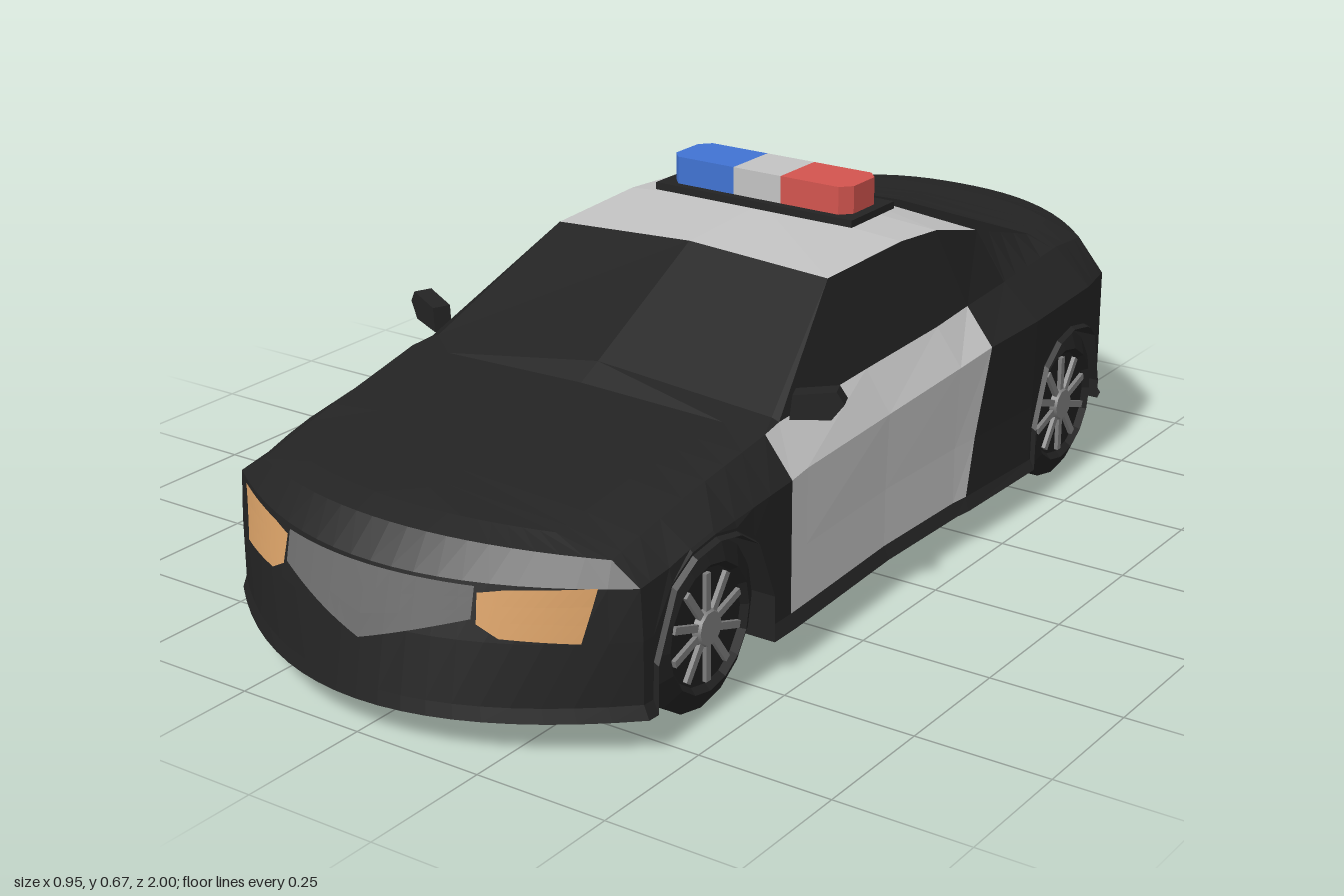
import * as THREE from 'three';

const paint = (name, color, extra = {}) => new THREE.MeshStandardMaterial({ name, color, ...extra });
const M = {
  black: paint('black paint', 0x232323), glass: paint('dark glass', 0x1e1e1e),
  white: paint('white panel', 0xc2c2c2), amber: paint('amber lamp', 0xd8a066),
  grey: paint('grille grey', 0x6c6c6c), red: paint('red lamp', 0xd2544e),
  blue: paint('blue lamp', 0x4072d2), rim: paint('rim grey', 0x7c7c7c),
  tyre: paint('tyre black', 0x1f1f1f, { flatShading: true }),
};

// Surfaces are collected as mirrored quads under a part name
function makeCollector() {
  const parts = {};
  const tri = (list, a, b, c) => {
    const [A, B, C] = [a, b, c].map(p => new THREE.Vector3(...p));
    if (B.sub(A).cross(C.sub(A)).length() > 1e-8) list.push(...a, ...b, ...c);
  };
  const flip = p => [-p[0], p[1], p[2]];
  return {
    quad(name, mat, a, b, c, d) {
      const list = (parts[name] ??= { mat, v: [] }).v;
      tri(list, a, b, c); tri(list, a, c, d);
      const [e, f, g, h] = [a, b, c, d].map(flip);
      tri(list, g, f, e); tri(list, h, g, e);
    },
    addTo(group) {
      for (const [name, { mat, v }] of Object.entries(parts)) {
        const geo = new THREE.BufferGeometry();
        geo.setAttribute('position', new THREE.Float32BufferAttribute(v, 3));
        geo.computeVertexNormals();
        addMesh(group, name, geo, mat);
      }
    },
  };
}
function addMesh(parent, name, geo, mat) {
  const mesh = new THREE.Mesh(geo, mat);
  mesh.name = name;
  parent.add(mesh);
  return mesh;
}
// Linear lookup in rows sorted by falling first column
function lookup(rows, key) {
  let i = 0;
  while (i < rows.length - 2 && key < rows[i + 1][0]) i++;
  const k = THREE.MathUtils.clamp((rows[i][0] - key) / (rows[i][0] - rows[i + 1][0]), 0, 1);
  return rows[i].map((n, c) => n + (rows[i + 1][c] - n) * k);
}

// z, side x, floor y, shoulder x y, belt x y, top edge x y, centre y
const SHAPE = [
  [0.8, 0.43, 0.065, 0.425, 0.29, 0.37, 0.325, 0.26, 0.345, 0.36],
  [0.615, 0.44, 0.065, 0.435, 0.315, 0.375, 0.365, 0.27, 0.375, 0.385],
  [0.39, 0.44, 0.065, 0.44, 0.335, 0.385, 0.405, 0.30, 0.408, 0.415],
  [0.34, 0.438, 0.065, 0.438, 0.34, 0.38, 0.41, 0.365, 0.415, 0.44],
  [0.06, 0.425, 0.065, 0.43, 0.345, 0.38, 0.42, 0.297, 0.572, 0.588],
  [-0.18, 0.43, 0.065, 0.437, 0.36, 0.385, 0.43, 0.304, 0.579, 0.601],
  [-0.30, 0.435, 0.065, 0.443, 0.37, 0.38, 0.435, 0.308, 0.57, 0.592],
  [-0.45, 0.445, 0.07, 0.45, 0.375, 0.375, 0.44, 0.312, 0.532, 0.56],
  [-0.69, 0.435, 0.1, 0.435, 0.375, 0.36, 0.445, 0.30, 0.46, 0.48],
  [-0.8, 0.41, 0.115, 0.41, 0.37, 0.355, 0.435, 0.28, 0.46, 0.47],
];
const AXLE = 0.615, WHEEL_Y = 0.15, ARCH = 0.16;

// Half cross-section from floor centre to roof centre, cut by the wheel arch
function ring(z) {
  const [, w, yf, sx, sy, bx, by, tx, ty, cy] = lookup(SHAPE, z);
  const dz = Math.abs(Math.abs(z) - AXLE);
  const a = dz < ARCH + 0.0005 ? WHEEL_Y + Math.sqrt(Math.max(0, ARCH ** 2 - dz ** 2)) : yf;
  const pts = [[0, yf], [0.3, yf], [0.3, a], [w + 0.01, a], [w, Math.max(0.09, a + 0.005)],
    [w, Math.max(0.2, a + 0.01)], [sx, Math.max(sy, a + 0.015)], [bx, by], [tx, ty], [0, cy]];
  // The rear door edge slants
  const slant = (y, j) => (z === -0.3 && j > 2 && j < 7 ? 0.08 * (1 - (y - 0.09) / 0.34) : 0);
  return pts.map(([x, y], j) => [x, y, z + slant(y, j)]);
}

function partAt(z, j) {
  if (j < 3 && z < 0.39 && z > -0.45) return ['floorPan', M.white];
  if (j > 3 && j < 7 && z < 0.39 && z > -0.3) return ['doorPanels', M.white];
  if (j === 7 && z < 0.34 && z > -0.45) return ['sideWindows', M.glass];
  if (j === 8 && z < 0.34 && z > 0.06) return ['windshield', M.glass];
  if (j === 8 && z < 0.06 && z > -0.45) return ['roofPanel', M.white];
  if (j === 8 && z < -0.45 && z > -0.69) return ['rearWindow', M.glass];
  return ['bodyShell', M.black];
}

function buildBody(car) {
  const body = makeCollector();
  const arch = [0.161, 0.16, 0.113, 0.06, 0, -0.06, -0.113, -0.16, -0.161];
  const zs = [0.8, ...arch.map(d => AXLE + d), 0.39, 0.34, 0.06, -0.18, -0.3, -0.45,
    ...arch.map(d => d - AXLE), -0.69, -0.8].sort((a, b) => b - a);
  const rings = zs.map(ring);
  for (let i = 0; i < zs.length - 1; i++)
    for (let j = 0; j < 9; j++)
      body.quad(...partAt((zs[i] + zs[i + 1]) / 2, j),
        rings[i][j], rings[i + 1][j], rings[i + 1][j + 1], rings[i][j + 1]);

  // Rounded nose and tail: every row bows from the side out to a centre point (y, z)
  const endCap = (side, centre, power) => {
    const dir = Math.sign(side[0][2]), n = 10;
    const rows = [[side[3], [side[3][1], 0.8]], ...centre.map((c, k) => [side[k + 3], c])];
    const at = ([s, c], t) => [s[0] * t, c[0] + (s[1] - c[0]) * t * t,
      dir * (0.8 + (c[1] - 0.8) * (1 - t ** power))];
    for (let r = 0; r < rows.length - 1; r++)
      for (let k = 0; k < n; k++) {
        const q = [at(rows[r], k / n), at(rows[r], (k + 1) / n),
          at(rows[r + 1], (k + 1) / n), at(rows[r + 1], k / n)];
        body.quad('bodyShell', M.black, ...(dir > 0 ? q : q.reverse()));
      }
  };
  endCap(rings[0], [[0.06, 1], [0.085, 0.995], [0.19, 0.975], [0.285, 0.95],
    [0.335, 0.9], [0.35, 0.85], [0.36, 0.8]], 2);
  endCap(rings[rings.length - 1], [[0.14, 0.995], [0.185, 1], [0.205, 0.972], [0.32, 0.957],
    [0.455, 0.94], [0.465, 0.87], [0.47, 0.8]], 2.6);

  // Thin plates that follow the bowed ends: rows are y, centre z, half width
  const front = [[0.285, 0.95, 0.425], [0.19, 0.975, 0.43], [0.085, 0.995, 0.43]];
  const rear = [[0.44, 0.94, 0.355], [0.345, 0.956, 0.41], [0.2, 0.972, 0.41]];
  const plate = (name, mat, dir, [p, q, r, s]) => {
    const nu = 8, nv = 3;
    const at = (u, v) => {
      const mix = k => (p[k] * (1 - u) + q[k] * u) * (1 - v) + (s[k] * (1 - u) + r[k] * u) * v;
      const x = mix(0), y = mix(1);
      const [, cz, w] = lookup(dir > 0 ? front : rear, y);
      return [x, y, dir * (0.808 + (cz - 0.8) * (1 - (x / w) ** (dir > 0 ? 2 : 2.6)))];
    };
    for (let i = 0; i < nu; i++)
      for (let j = 0; j < nv; j++) {
        const c = [at(i / nu, j / nv), at((i + 1) / nu, j / nv),
          at((i + 1) / nu, (j + 1) / nv), at(i / nu, (j + 1) / nv)];
        body.quad(name, mat, ...(dir > 0 ? c : c.reverse()));
      }
  };
  const box = (x0, x1, y0, y1) => [[x0, y0], [x1, y0], [x1, y1], [x0, y1]];
  plate('grille', M.grey, 1, [[0, 0.165], [0.195, 0.23], [0.195, 0.283], [0, 0.283]]);
  plate('headlights', M.amber, 1, [[0.204, 0.223], [0.24, 0.203], [0.24, 0.281], [0.2, 0.273]]);
  plate('headlights', M.amber, 1, [[0.24, 0.203], [0.355, 0.2], [0.374, 0.293], [0.24, 0.281]]);
  plate('rearPlate', M.grey, -1, box(0, 0.135, 0.213, 0.288));
  plate('tailLights', M.red, -1, box(0.31, 0.334, 0.325, 0.415));
  plate('tailLights', M.red, -1, box(0.265, 0.31, 0.393, 0.415));
  plate('tailLights', M.red, -1, box(0.265, 0.31, 0.325, 0.347));
  body.addTo(car);
}

function buildWheel(side, z) {
  const wheel = new THREE.Group();
  wheel.name = 'wheel';
  const profile = [[0, -0.055], [0.15, -0.055], [0.15, 0.03], [0.113, 0.05], [0.103, 0.038], [0, 0.038]];
  addMesh(wheel, 'tyre', new THREE.LatheGeometry(profile.map(p => new THREE.Vector2(...p)), 16), M.tyre);
  for (let i = 0; i < 10; i++) {
    const spoke = new THREE.BoxGeometry(0.078, 0.012, 0.013).translate(0.058, 0.04, 0);
    addMesh(wheel, 'spoke', spoke.rotateY(i * Math.PI / 5), M.rim);
  }
  addMesh(wheel, 'hub', new THREE.CylinderGeometry(0.03, 0.037, 0.016, 10).translate(0, 0.043, 0), M.rim);
  wheel.rotation.z = -side * Math.PI / 2;
  wheel.position.set(side * 0.38, WHEEL_Y, z);
  return wheel;
}

const outline = pts => new THREE.Shape(pts.map(p => new THREE.Vector2(...p)));

export function createModel() {
  const car = new THREE.Group();
  car.name = 'patrolCar';
  buildBody(car);
  for (const side of [-1, 1]) {
    for (const z of [AXLE, -AXLE]) car.add(buildWheel(side, z));
    // Door mirror, swept back towards its tip
    const pts = [[0, 0], [0.072, 0.005], [0.094, 0.034], [0.08, 0.056], [0.005, 0.045]];
    const shape = outline(pts.map(([x, y]) => [side * x, y]));
    const geo = new THREE.ExtrudeGeometry(shape, { depth: 0.035, bevelEnabled: false });
    const mirror = addMesh(car, 'sideMirror', geo, M.black);
    mirror.position.set(side * 0.375, 0.41, 0.29);
    mirror.rotation.y = side * 0.4;
  }

  // Roof light bar: base, centre block and two lamps with cut corners
  const bar = new THREE.Group();
  bar.name = 'lightBar';
  bar.position.set(0, 0.606, -0.218);
  addMesh(bar, 'barBase', new THREE.BoxGeometry(0.44, 0.014, 0.15), M.black);
  addMesh(bar, 'barCentre', new THREE.BoxGeometry(0.106, 0.054, 0.116).translate(0, 0.033, 0), M.white);
  for (const [side, mat] of [[-1, M.blue], [1, M.red]]) {
    const pts = [[0.053, -0.058], [0.18, -0.058], [0.2, -0.036], [0.2, 0.036], [0.18, 0.058], [0.053, 0.058]];
    const shape = outline(pts.map(([x, y]) => [side * x, y]));
    const geo = new THREE.ExtrudeGeometry(shape, { depth: 0.054, bevelEnabled: false });
    addMesh(bar, side > 0 ? 'redLamp' : 'blueLamp', geo.rotateX(-Math.PI / 2).translate(0, 0.006, 0), mat);
  }
  car.add(bar);
  return car;
}
